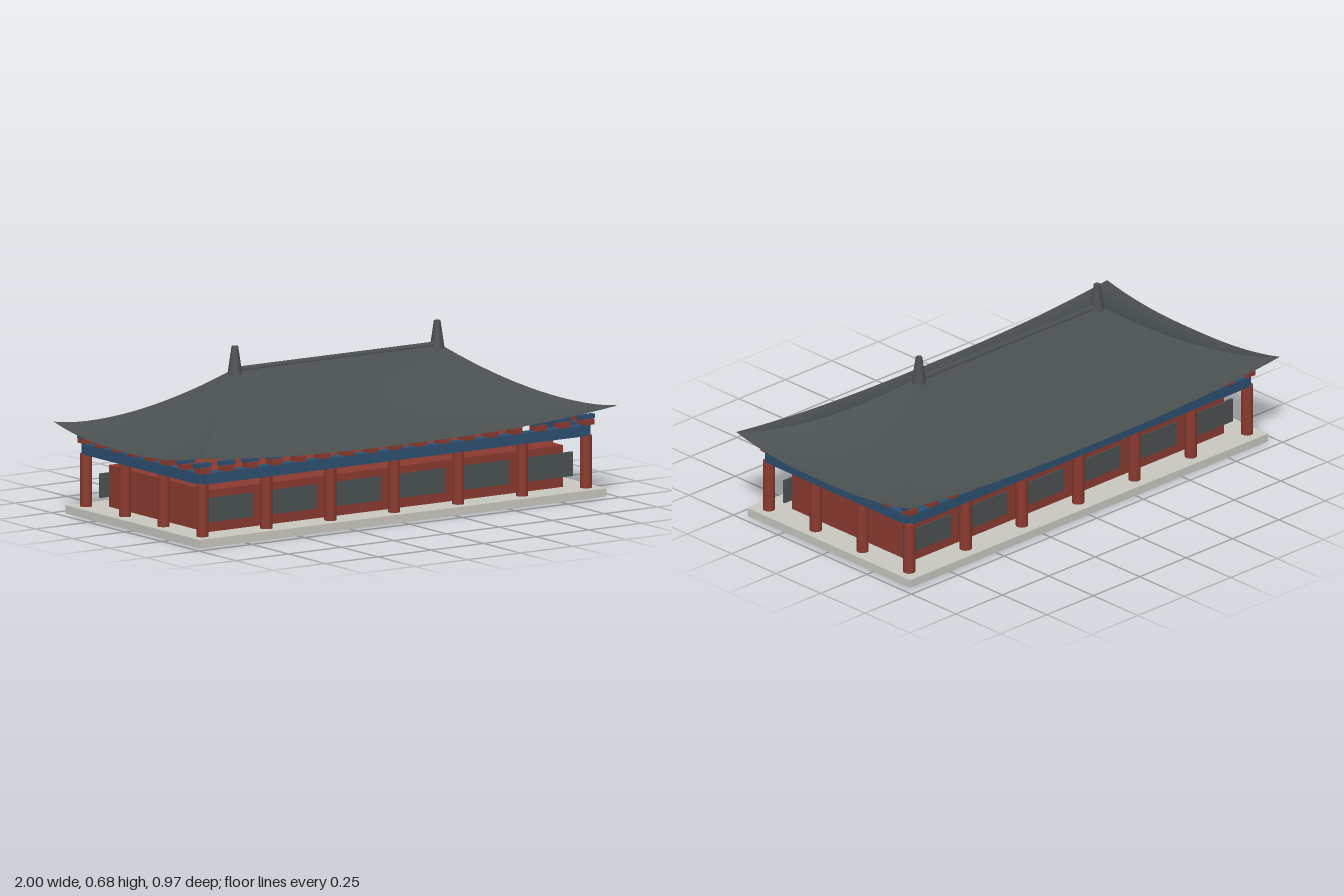
import * as THREE from 'three';

const material = (name, color, side = THREE.FrontSide) => {
  const m = new THREE.MeshStandardMaterial({ color, side });
  m.name = name;
  return m;
};

export function createModel() {
  const model = new THREE.Group();
  model.name = 'pavilion';
  const stone = material('pale stone', 0xc8c8c0);
  const red = material('red timber', 0x8b3a2f);
  const blue = material('blue timber', 0x2c4f70);
  const tile = material('dark tile', 0x4a5050, THREE.DoubleSide);

  const add = (name, geometry, mat, x, y, z, parent = model) => {
    const mesh = new THREE.Mesh(geometry, mat);
    mesh.name = name;
    mesh.position.set(x, y, z);
    parent.add(mesh);
    return mesh;
  };
  const group = (name) => {
    const g = new THREE.Group();
    g.name = name;
    model.add(g);
    return g;
  };
  const box = (w, h, d) => new THREE.BoxGeometry(w, h, d);

  // Outline of the column grid
  const X = 0.91, Z = 0.394;

  // Evenly spaced spots around the rectangle, corners used once
  const perimeter = (nx, nz) => {
    const spots = [];
    for (let i = 0; i <= nx; i++)
      for (const s of [-1, 1]) spots.push([X * (2 * i / nx - 1), s * Z]);
    for (let i = 1; i < nz; i++)
      for (const s of [-1, 1]) spots.push([s * X, Z * (2 * i / nz - 1)]);
    return spots;
  };

  // Base and hall walls
  add('base', box(1.93, 0.033, 0.91), stone, 0, 0.0165, 0);
  add('hallWalls', box(1.69, 0.165, 0.667), red, 0, 0.1155, 0);

  // Dark panels, one per bay on the front and back walls
  const panels = group('wallPanels');
  const bay = 2 * X / 6;
  for (let i = 0; i < 6; i++)
    for (const s of [-1, 1])
      add('wallPanel', box(bay * 0.85, 0.096, 0.0096), tile, (i - 2.5) * bay, 0.12, s * 0.3335, panels);

  // Columns
  const columns = group('columns');
  const columnShape = new THREE.CylinderGeometry(0.024, 0.024, 0.208, 16);
  for (const [x, z] of perimeter(6, 3)) add('column', columnShape, red, x, 0.137, z, columns);

  // Beams on top of the columns
  const beams = group('beams');
  for (const s of [-1, 1]) {
    add('longBeam', box(2 * X, 0.043, 0.042), blue, 0, 0.2615, s * Z, beams);
    add('endBeam', box(0.042, 0.0428, 2 * Z), blue, s * X, 0.2615, 0, beams);
  }

  // Brackets: a red block with a blue arm along x
  const brackets = group('brackets');
  const blockShape = box(0.047, 0.022, 0.047), armShape = box(0.072, 0.017, 0.023);
  for (const [x, z] of perimeter(16, 7)) {
    add('bracketBlock', blockShape, red, x, 0.294, z, brackets);
    add('bracketArm', armShape, blue, x, 0.3135, z, brackets);
  }

  // Curved roof slope: u runs along the eave, s runs from eave to ridge
  const slope = (eaveHalf, ridgeHalf, eaveOut, ridgeOut) => {
    const nu = 32, ns = 16, pos = [], index = [];
    for (let j = 0; j <= ns; j++) {
      const s = j / ns;
      for (let i = 0; i <= nu; i++) {
        const u = 2 * i / nu - 1;
        const lift = 0.047 * Math.abs(u) ** 2.5 * (1 - s) ** 2;
        pos.push(u * THREE.MathUtils.lerp(eaveHalf, ridgeHalf, s),
          0.315 + 0.277 * s ** 1.48 + lift,
          THREE.MathUtils.lerp(eaveOut, ridgeOut, s));
        if (i < nu && j < ns) {
          const a = j * (nu + 1) + i, c = a + nu + 1;
          index.push(a, a + 1, c + 1, a, c + 1, c);
        }
      }
    }
    const g = new THREE.BufferGeometry();
    g.setAttribute('position', new THREE.Float32BufferAttribute(pos, 3));
    g.setIndex(index);
    g.computeVertexNormals();
    return g;
  };
  const roof = group('roof');
  const longSlope = slope(1, 0.48, 0.485, 0);
  const endSlope = slope(0.485, 0, 1, 0.48);
  for (let k = 0; k < 4; k++)
    add(k % 2 ? 'endSlope' : 'longSlope', k % 2 ? endSlope : longSlope, tile, 0, 0, 0, roof)
      .rotation.y = k * Math.PI / 2;

  // Ridge pole and its two end finials
  add('ridge', new THREE.CylinderGeometry(0.013, 0.013, 0.96, 10), tile, 0, 0.584, 0, roof)
    .rotation.z = Math.PI / 2;
  const finialShape = new THREE.CylinderGeometry(0.013, 0.029, 0.11, 12);
  for (const s of [-1, 1]) add('finial', finialShape, tile, s * 0.48, 0.625, 0, roof);

  return model;
}
